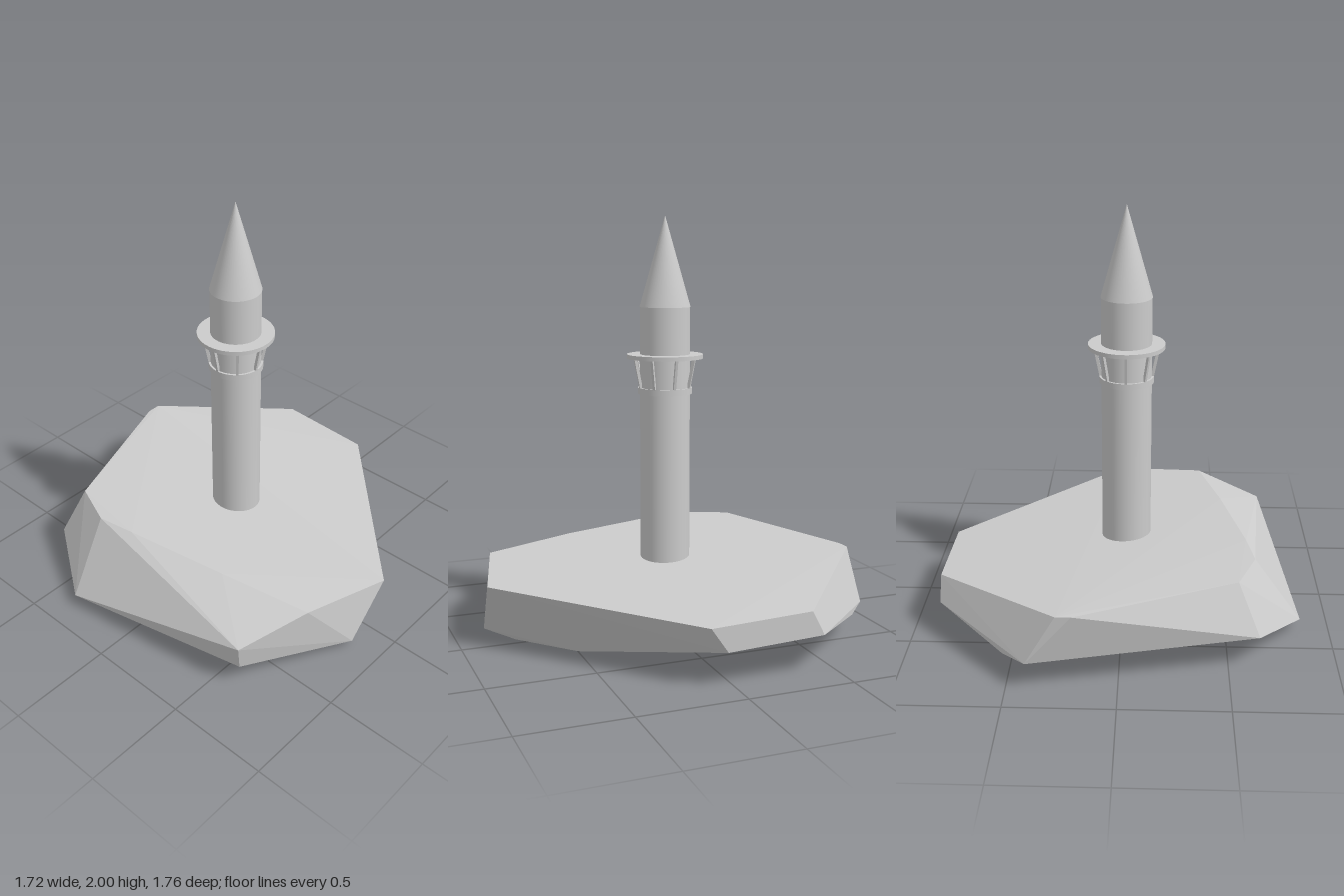
import * as THREE from 'three';
import { ConvexGeometry } from 'three/addons/geometries/ConvexGeometry.js';

const material = new THREE.MeshStandardMaterial({ color: 0xcccccc });
const rockMaterial = new THREE.MeshStandardMaterial({ color: 0xcccccc, flatShading: true });

function part(parent, name, geometry, y = 0, mat = material) {
  const mesh = new THREE.Mesh(geometry, mat);
  mesh.name = name;
  mesh.position.y = y;
  parent.add(mesh);
  return mesh;
}

// Upright cylinder or cone between two heights
function round(parent, name, rTop, rBottom, y0, y1) {
  const geometry = new THREE.CylinderGeometry(rTop, rBottom, y1 - y0, 48);
  return part(parent, name, geometry, (y0 + y1) / 2);
}

export function createModel() {
  const model = new THREE.Group();
  model.name = 'rockTower';

  // Faceted rock: corners of a convex boulder
  const corners = [
    // top rim
    [0.04, 0.30, 0.88], [0.86, 0.27, 0.11], [0.86, 0.29, -0.37], [0.27, 0.38, -0.88],
    [0.20, 0.38, -0.88], [-0.54, 0.40, -0.59], [-0.63, 0.40, -0.37], [-0.60, 0.40, -0.18],
    [-0.50, 0.375, 0.33], [-0.40, 0.34, 0.77], [-0.72, 0.25, 0.63],
    // lower rim
    [0.86, 0.155, 0.03], [0.86, 0.175, -0.43], [0.52, 0.12, -0.77], [0.41, 0.14, -0.88],
    [-0.64, 0.16, -0.67], [-0.86, 0.06, -0.34], [-0.70, 0.12, 0.62], [-0.16, 0.035, 0.86],
    // underside
    [0.21, 0, 0.50], [-0.05, 0, 0.73], [0.09, 0, -0.24], [-0.46, 0, -0.20],
  ].map((p) => new THREE.Vector3(...p));
  part(model, 'rock', new ConvexGeometry(corners), 0, rockMaterial);

  // Tower
  const tower = new THREE.Group();
  tower.name = 'tower';
  tower.position.set(-0.014, 0, -0.02);
  model.add(tower);
  round(tower, 'shaft', 0.12, 0.12, 0.3, 1.575);
  round(tower, 'roof', 0, 0.122, 1.57, 2);
  round(tower, 'collar', 0.13, 0.13, 1.155, 1.185);
  round(tower, 'balcony', 0.183, 0.183, 1.325, 1.345);

  // Struts leaning outward from the collar to the balcony
  const low = new THREE.Vector3(0, 1.18, 0.122);
  const high = new THREE.Vector3(0, 1.33, 0.152);
  const lean = Math.atan2(high.z - low.z, high.y - low.y);
  const strutGeometry = new THREE.BoxGeometry(0.012, low.distanceTo(high), 0.014);
  for (let i = 0; i < 8; i++) {
    const arm = new THREE.Group();
    arm.name = 'strutArm';
    arm.rotation.y = (i * Math.PI) / 4;
    tower.add(arm);
    const strut = part(arm, 'strut', strutGeometry);
    strut.position.copy(low).lerp(high, 0.5);
    strut.rotation.x = lean;
  }
  return model;
}
